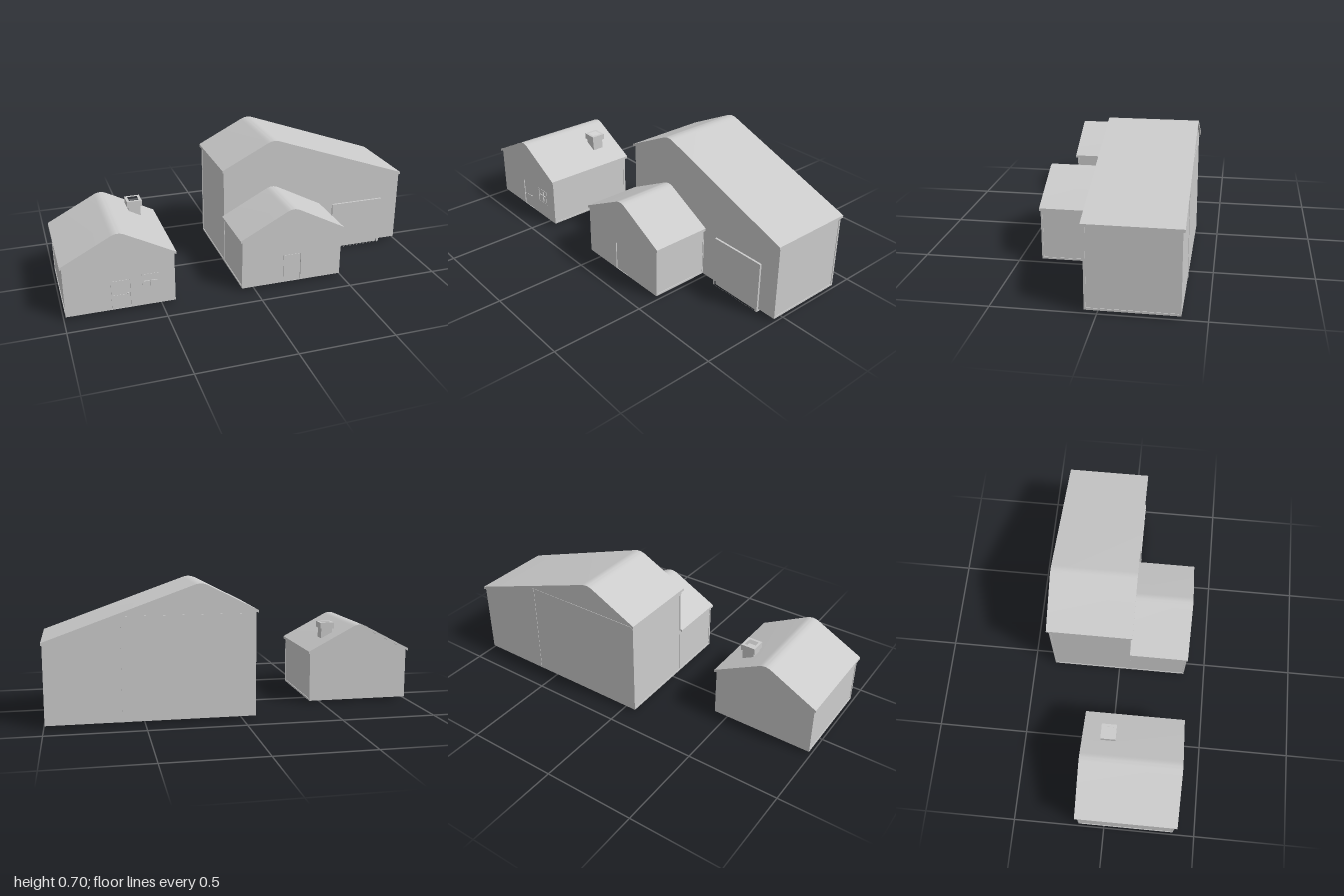
import * as THREE from 'three';
import { toCreasedNormals } from 'three/addons/utils/BufferGeometryUtils.js';

const grey = new THREE.MeshStandardMaterial({ color: 0xcccccc });
const BASE = 0.015; // underside of the walls
const POST = 0.01; // trim width
const RELIEF = 0.003; // how far trim stands proud of the side walls
const SKIN = 0.008; // thickness of the front wall holding the openings

function add(parent, name, geometry, x = 0, y = 0, z = 0) {
  const mesh = new THREE.Mesh(geometry, grey);
  mesh.name = name;
  mesh.position.set(x, y, z);
  parent.add(mesh);
  return mesh;
}

// Box given by its limits on each axis
function box(parent, name, x0, x1, y0, y1, z0, z1) {
  return add(parent, name, new THREE.BoxGeometry(x1 - x0, y1 - y0, z1 - z0),
    (x0 + x1) / 2, (y0 + y1) / 2, (z0 + z1) / 2);
}

const rectPath = (x0, x1, y0, y1) => new THREE.Path(
  [[x0, y0], [x0, y1], [x1, y1], [x1, y0], [x0, y0]].map(p => new THREE.Vector2(...p)));

function extrude(shape, z0, z1) {
  const g = new THREE.ExtrudeGeometry(shape, { depth: z1 - z0, bevelEnabled: false, curveSegments: 8 });
  g.translate(0, 0, z0);
  return toCreasedNormals(g, 0.5);
}

// Roof sheet with a rounded ridge, of even thickness
function roof(parent, h) {
  const { left, right, ridge, r = 0.035, t = 0.014 } = h;
  const [xl, yl] = left, [xr, yr] = right, [xm, ym] = ridge;
  const sl = (ym - yl) / (xm - xl), sr = (ym - yr) / (xr - xm);
  const s = new THREE.Shape();
  s.moveTo(xl, yl);
  s.lineTo(xl, yl - t);
  s.lineTo(xm - r, ym - sl * r - t);
  s.quadraticCurveTo(xm, ym - t, xm + r, ym - sr * r - t);
  s.lineTo(xr, yr - t);
  s.lineTo(xr, yr);
  s.lineTo(xm + r, ym - sr * r);
  s.quadraticCurveTo(xm, ym, xm - r, ym - sl * r);
  s.lineTo(xl, yl);
  add(parent, 'roof', extrude(s, h.roofZ[0], h.roofZ[1]));
}

// One building: core, pierced front wall, side trim and roof
function building(name, h) {
  const g = new THREE.Group();
  g.name = name;
  const [x0, x1] = h.wallX, [z0, z1] = h.wallZ;
  const [xm, ym] = h.ridge;
  const roofY = x => {
    const [xe, ye] = x < xm ? h.left : h.right;
    return ye + (ym - ye) * (x - xe) / (xm - xe) - 0.009;
  };
  const gable = inset => new THREE.Shape([
    [x0 + inset, BASE], [x1 - inset, BASE], [x1 - inset, roofY(x1)],
    [xm + 0.03, roofY(xm + 0.03)], [xm - 0.03, roofY(xm - 0.03)], [x0 + inset, roofY(x0)],
  ].map(p => new THREE.Vector2(...p)));

  add(g, 'walls', extrude(gable(RELIEF), z0, z1 - SKIN));
  const front = gable(0);
  for (const o of h.openings ?? []) front.holes.push(rectPath(...o));
  add(g, 'frontWall', extrude(front, z1 - SKIN, z1));

  // Corner posts, sill and eave board on both sides
  for (const [a, b, x] of [[x0, x0 + 0.006, x0], [x1 - 0.006, x1, x1]]) {
    const top = roofY(x);
    box(g, 'cornerPost', a, b, BASE, top, z0, z0 + POST);
    box(g, 'cornerPost', a, b, BASE, top, z1 - POST, z1 - 0.001);
    box(g, 'sill', a, b, BASE, BASE + POST, z0 + POST, z1 - POST);
  }
  roof(g, h);
  return g;
}

function door(parent, x0, x1, y1, z) {
  box(parent, 'door', x0 + 0.003, x1 - 0.003, BASE, y1 - 0.003, z - SKIN - 0.002, z - 0.003);
}

export function createModel() {
  const model = new THREE.Group();
  model.name = 'farmBuildings';

  // Cottage
  const doorX = [-0.76, -0.66], windowBox = [-0.6, -0.51, 0.1, 0.19];
  const cottage = building('cottage', {
    left: [-1, 0.295], right: [-0.42, 0.295], ridge: [-0.71, 0.447],
    wallX: [-0.99, -0.43], wallZ: [-0.14, 0.38], roofZ: [-0.15, 0.39],
    openings: [[...doorX, BASE + 0.001, 0.175], windowBox],
  });
  door(cottage, ...doorX, 0.175, 0.38);
  box(cottage, 'doorRail', -0.75, -0.68, 0.089, 0.093, 0.375, 0.379);
  add(cottage, 'doorKnob', new THREE.SphereGeometry(0.005, 12, 8), -0.675, 0.1, 0.384);

  // Window frame with glazing bars
  const [wx0, wx1, wy0, wy1] = windowBox;
  const frame = new THREE.Shape(rectPath(wx0, wx1, wy0, wy1).getPoints());
  frame.holes.push(rectPath(wx0 + 0.01, wx1 - 0.01, wy0 + 0.01, wy1 - 0.01));
  add(cottage, 'windowFrame', extrude(frame, 0.372, 0.382));
  box(cottage, 'windowBar', -0.558, -0.552, wy0 + 0.01, wy1 - 0.01, 0.371, 0.379);
  box(cottage, 'windowBar', wx0 + 0.01, wx1 - 0.01, 0.142, 0.148, 0.371, 0.378);

  // Chimney with a hollow cap
  const chimney = new THREE.Group();
  chimney.name = 'chimney';
  chimney.position.set(-0.555, 0, -0.01);
  box(chimney, 'chimneyShaft', -0.032, 0.032, 0.33, 0.408, -0.032, 0.032);
  const cap = new THREE.Shape(rectPath(-0.04, 0.04, -0.04, 0.04).getPoints());
  cap.holes.push(rectPath(-0.026, 0.026, -0.026, 0.026));
  const capGeometry = extrude(cap, 0.405, 0.438);
  capGeometry.rotateX(-Math.PI / 2);
  add(chimney, 'chimneyCap', capGeometry);
  cottage.add(chimney);
  model.add(cottage);

  // Barn with a long slope on one side
  const barn = building('barn', {
    left: [-0.08, 0.565], right: [1, 0.431], ridge: [0.21, 0.712],
    wallX: [-0.07, 0.995], wallZ: [-0.38, 0.06], roofZ: [-0.39, 0.07],
  });
  box(barn, 'backPost', 0.605, 0.615, BASE, 0.55, -0.382, -0.375);
  box(barn, 'backBeam', -0.065, 0.61, 0.545, 0.55, -0.382, -0.375);

  // Garage door in its frame
  const surround = new THREE.Shape(rectPath(0.58, 0.89, 0, 0.28).getPoints());
  surround.holes.push(rectPath(0.592, 0.878, 0.001, 0.268));
  add(barn, 'garageFrame', extrude(surround, 0.045, 0.071));
  box(barn, 'garageDoor', 0.591, 0.879, 0.002, 0.269, 0.047, 0.064);
  model.add(barn);

  // Front wing
  const wing = building('wing', {
    left: [-0.08, 0.295], right: [0.5, 0.295], ridge: [0.21, 0.447],
    wallX: [-0.07, 0.49], wallZ: [0.055, 0.38], roofZ: [0.06, 0.385],
    openings: [[0.16, 0.26, BASE + 0.001, 0.175]],
  });
  door(wing, 0.16, 0.26, 0.175, 0.38);
  model.add(wing);

  return model;
}
